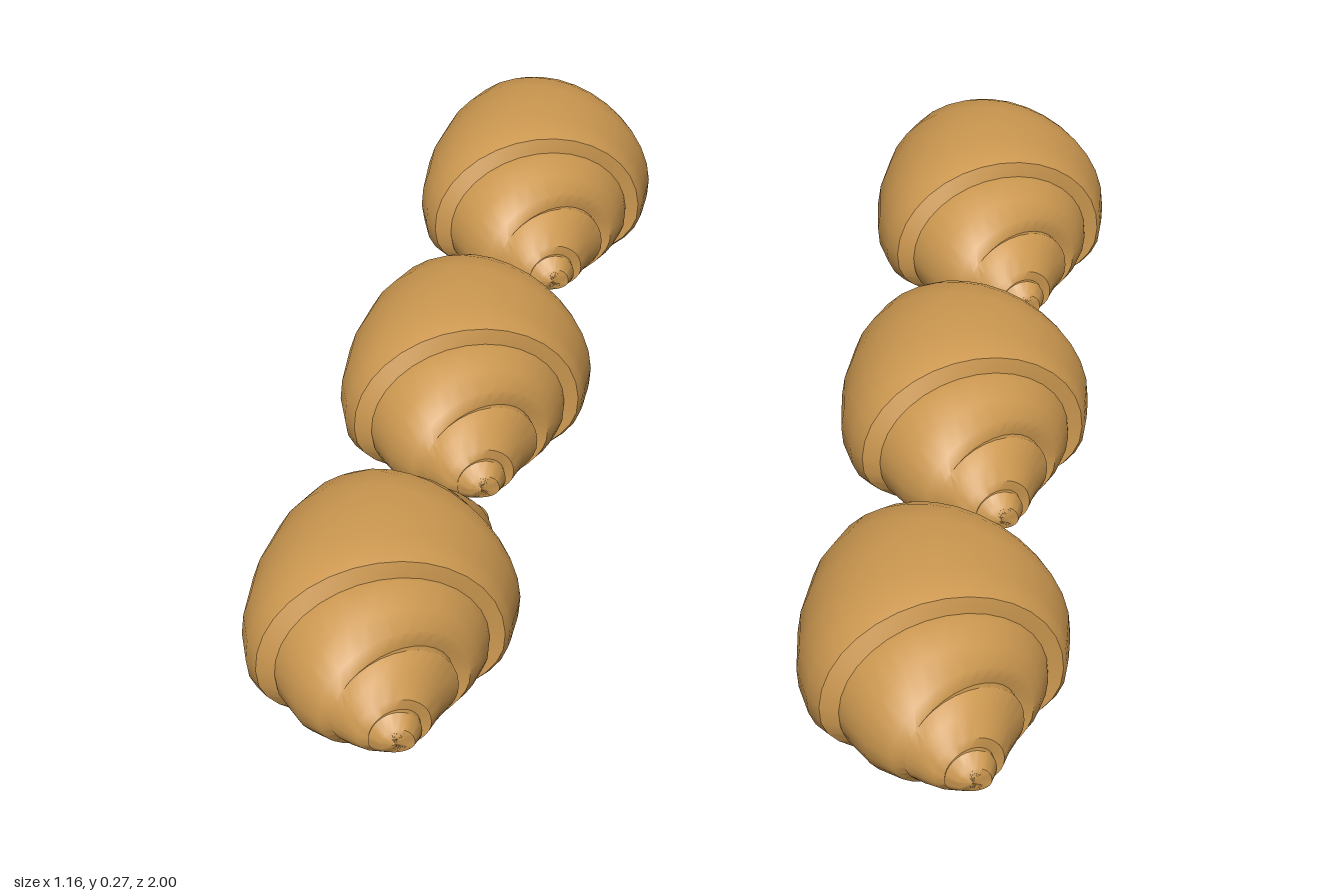
import * as THREE from 'three';
import { toCreasedNormals } from 'three/addons/utils/BufferGeometryUtils.js';

// Half of a rolled pastry, from the middle to the tip. Each slanted ring is
// [z on the back of the curve, z on the inner side, xMin, xMax, yMin, yMax].
const HALF = [
  // wide middle wrap
  [0, 0, -0.19, 0.19, 0, 0.266],
  [0.1, 0.025, -0.182, 0.19, 0, 0.264],
  [0.165, 0.045, -0.162, 0.189, 0.003, 0.258],
  [0.192, 0.056, -0.142, 0.184, 0.01, 0.25],
  [0.195, 0.062, -0.115, 0.163, 0.02, 0.226],
  // second wrap
  [0.2, 0.075, -0.112, 0.164, 0.012, 0.226],
  [0.25, 0.11, -0.075, 0.156, 0.015, 0.208],
  [0.277, 0.13, -0.036, 0.147, 0.024, 0.184],
  [0.278, 0.14, -0.016, 0.126, 0.04, 0.163],
  // third wrap
  [0.278, 0.16, -0.018, 0.136, 0.033, 0.166],
  [0.292, 0.21, 0, 0.122, 0.042, 0.15],
  [0.303, 0.25, 0.022, 0.114, 0.05, 0.128],
  [0.303, 0.256, 0.037, 0.1, 0.06, 0.114],
  // tip
  [0.305, 0.27, 0.037, 0.105, 0.055, 0.116],
  [0.311, 0.297, 0.055, 0.1, 0.064, 0.1],
  [0.312, 0.306, 0.075, 0.078, 0.08, 0.083],
];
const SIDES = 32;

// Point on a ring: domed above, flatter below
function ringPoint([zBack, zInner, x0, x1, y0, y1], angle, mirror) {
  const c = Math.cos(angle), s = Math.sin(angle);
  const mid = y0 + (y1 - y0) * 0.4;
  const y = s >= 0 ? mid + (y1 - mid) * s : mid - (mid - y0) * Math.pow(-s, 0.8);
  const x = (x0 + x1) / 2 + c * (x1 - x0) / 2;
  const z = zBack + (zInner - zBack) * (1 + c) / 2;
  return [x, y, z * mirror];
}

function pastryGeometry() {
  const rings = [
    ...HALF.slice(1).reverse().map(r => [r, -1]),
    ...HALF.map(r => [r, 1]),
  ];
  const pos = [], index = [];
  rings.forEach(([ring, mirror], i) => {
    for (let j = 0; j < SIDES; j++) {
      pos.push(...ringPoint(ring, j / SIDES * Math.PI * 2, mirror));
      if (i === rings.length - 1) continue;
      const k = (j + 1) % SIDES;
      const a = i * SIDES + j, b = i * SIDES + k;
      index.push(a, b, b + SIDES, a, b + SIDES, a + SIDES);
    }
  });
  // close both tips
  const last = (rings.length - 1) * SIDES;
  for (let j = 1; j < SIDES - 1; j++) {
    index.push(0, j + 1, j, last, last + j, last + j + 1);
  }
  const geo = new THREE.BufferGeometry();
  geo.setAttribute('position', new THREE.Float32BufferAttribute(pos, 3));
  geo.setIndex(index);
  return toCreasedNormals(geo, 0.7);
}

export function createModel() {
  const model = new THREE.Group();
  model.name = 'croissants';
  const crust = new THREE.MeshStandardMaterial({ color: 0xcc9850 });
  crust.name = 'golden crust';
  const geo = pastryGeometry();

  // two columns of three
  for (const x of [-0.39, 0.39]) {
    for (const z of [-0.688, 0, 0.688]) {
      const croissant = new THREE.Mesh(geo, crust);
      croissant.name = 'croissant';
      croissant.position.set(x, 0, z);
      model.add(croissant);
    }
  }
  return model;
}
